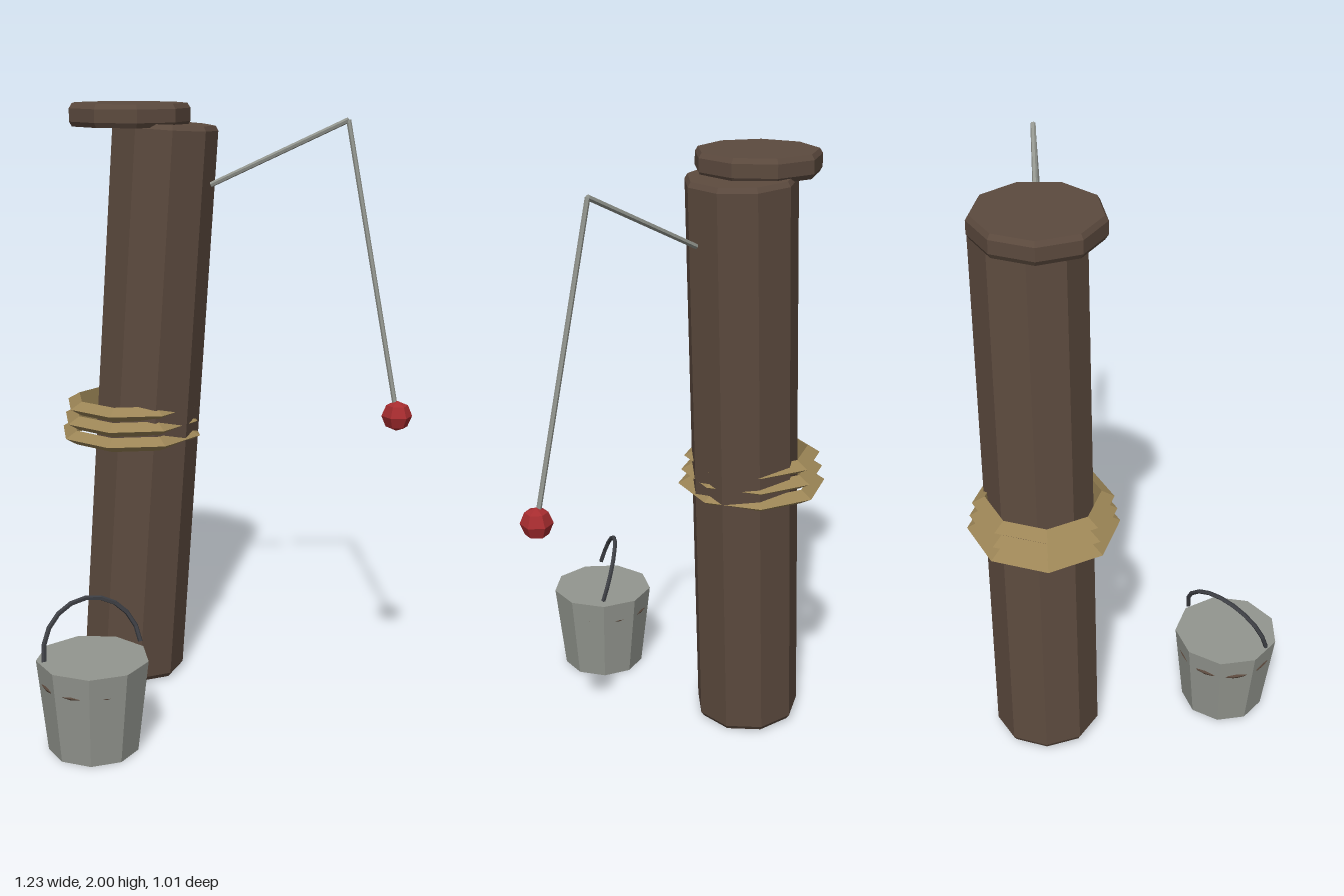
import * as THREE from 'three';

export function createModel() {
  const model = new THREE.Group();
  const mat = (name, color) => {
    const m = new THREE.MeshStandardMaterial({ color, flatShading: true });
    m.name = name;
    return m;
  };
  const wood = mat('dark wood', 0x5c4a3e);
  const rope = mat('rope tan', 0x9c8556);
  const metal = mat('pale metal', 0x93968f);
  const iron = mat('dark iron', 0x3d3f44);
  const red = mat('red', 0xa62c2f);

  const add = (name, geometry, material, x = 0, y = 0, z = 0) => {
    const mesh = new THREE.Mesh(geometry, material);
    mesh.name = name;
    mesh.position.set(x, y, z);
    model.add(mesh);
    return mesh;
  };

  // nine-sided log with chamfered ends, one corner pointing backwards
  const log = (r, h) => {
    const profile = [[0, 0], [r - 0.01, 0], [r, 0.016], [r, h - 0.016], [r - 0.01, h], [0, h]];
    return new THREE.LatheGeometry(profile.map(p => new THREE.Vector2(...p)), 9).rotateY(Math.PI);
  };
  const UP = new THREE.Vector3(0, 1, 0);

  // leaning post and its level cap
  const foot = new THREE.Vector3(-0.035, 0.013, -0.253);
  const lean = new THREE.Vector3(0.065, 1.936, -0.19).sub(foot);
  const post = add('post', log(0.18, lean.length()), wood, ...foot.toArray());
  post.quaternion.setFromUnitVectors(UP, lean.clone().normalize());
  add('postCap', log(0.205, 0.075), wood, -0.035, 1.925, -0.255);

  // three rope loops around the post, narrowing upwards
  for (let i = 0; i < 3; i++) {
    const loop = new THREE.TorusGeometry(0.222 - i * 0.01, 0.028, 3, 8).rotateX(Math.PI / 2);
    add('ropeLoop' + (i + 1), loop, rope, -0.035, 0.88 + i * 0.05, -0.255);
  }

  // fishing rod, line and float
  const rod = (name, a, b, r) => {
    const dir = b.clone().sub(a);
    const mesh = add(name, new THREE.CylinderGeometry(r, r, dir.length(), 6), metal,
      ...a.clone().add(b).multiplyScalar(0.5).toArray());
    mesh.quaternion.setFromUnitVectors(UP, dir.normalize());
  };
  const tip = new THREE.Vector3(0.47, 1.953, 0.285);
  const bob = new THREE.Vector3(0.57, 1.013, 0.457);
  rod('rod', new THREE.Vector3(0.16, 1.738, -0.045), tip, 0.009);
  rod('line', tip, bob, 0.008);
  add('float', new THREE.SphereGeometry(0.05, 6, 4).rotateY(Math.PI / 6), red, ...bob.toArray());

  // bucket with a worn band that shows only in the middle of each side
  const bx = -0.438, bz = 0.252;
  add('bucket', new THREE.CylinderGeometry(0.18, 0.145, 0.305, 9).rotateY(Math.PI / 2), metal, bx, 0.1525, bz);
  add('bucketBand', new THREE.TorusGeometry(0.152, 0.012, 6, 36).rotateX(Math.PI / 2), wood, bx - 0.002, 0.232, bz - 0.002);

  // arched handle tipped backwards
  const handle = add('bucketHandle', new THREE.TorusGeometry(0.169, 0.008, 5, 10, Math.PI), iron, bx, 0.325, bz + 0.001);
  handle.rotation.x = -0.3;

  return model;
}
